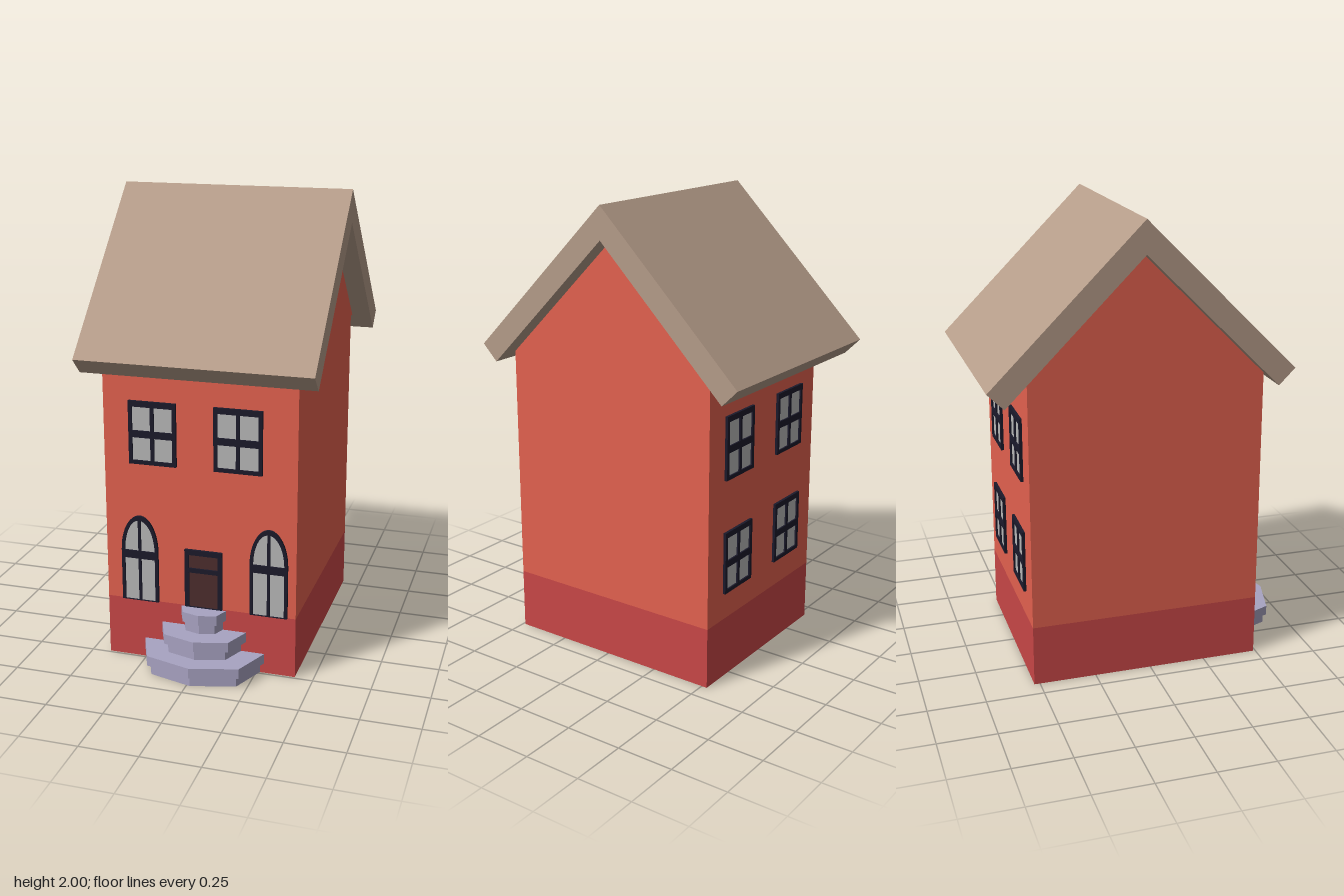
import * as THREE from 'three';

const mat = (color) => new THREE.MeshStandardMaterial({ color, flatShading: true });
const WALL = mat(0xe4624f), BASE = mat(0xc94747), ROOF = mat(0xb59c89), STONE = mat(0xa8a3c2);
const FRAME = mat(0x1b1a2b), GLASS = mat(0xb8b8b8), DOOR = mat(0x4d2d2d);
const FRONT = 0.49, BACK = -0.525, RIDGE = -0.055, HALF = 0.42, BASE_H = 0.27;

const polygon = (pts) => new THREE.Shape(pts.map(([x, y]) => new THREE.Vector2(x, y)));
const rect = (x0, y0, x1, y1) => polygon([[x0, y0], [x1, y0], [x1, y1], [x0, y1]]);
const extrude = (shape, depth) =>
  new THREE.ExtrudeGeometry(shape, { depth, bevelEnabled: false, curveSegments: 12 });

function add(parent, name, geometry, material) {
  const mesh = new THREE.Mesh(geometry, material);
  mesh.name = name;
  parent.add(mesh);
  return mesh;
}

// Side profile of [z, y] points, swept across the width
function sweepX(pts, width) {
  return extrude(polygon(pts), width).rotateY(-Math.PI / 2).translate(width / 2, 0, 0);
}

// Frame with openings, plus a panel just behind its face; built facing +z from z = 0
function opening(name, outline, holes, panel, panelMaterial) {
  const group = new THREE.Group();
  group.name = name;
  outline.holes = holes;
  add(group, 'frame', extrude(outline, 0.012), FRAME);
  const glass = new THREE.ShapeGeometry(panel, 12).translate(0, 0, 0.005);
  add(group, 'panel', glass, panelMaterial);
  return group;
}

// Four-pane sash window, origin at the bottom centre
function sashWindow(name) {
  const holes = [];
  for (const [y0, y1] of [[0.017, 0.117], [0.147, 0.25]]) {
    holes.push(rect(-0.088, y0, -0.008, y1), rect(0.008, y0, 0.088, y1));
  }
  return opening(name, rect(-0.104, 0, 0.104, 0.275), holes, rect(-0.1, 0.005, 0.1, 0.27), GLASS);
}

// Tall window with an elliptical head
function archShape(w, spring, rise) {
  const s = new THREE.Shape();
  s.moveTo(-w, 0);
  s.lineTo(w, 0);
  s.lineTo(w, spring);
  s.absellipse(0, spring, w, rise, 0, Math.PI, false);
  s.lineTo(-w, 0);
  return s;
}

function quarterPane(side) {
  const s = new THREE.Shape();
  const gap = 0.006, w = 0.068, y0 = 0.23, rise = 0.14;
  s.moveTo(side * gap, y0);
  s.lineTo(side * w, y0);
  for (let i = 1; i <= 10; i++) {
    const x = w + (gap - w) * (1 - Math.cos((i / 10) * Math.PI / 2));
    s.lineTo(side * x, y0 + rise * Math.sqrt(1 - (x / w) ** 2));
  }
  return s;
}

function archWindow(name) {
  const holes = [quarterPane(-1), quarterPane(1),
    rect(-0.068, 0.002, -0.006, 0.195), rect(0.006, 0.002, 0.068, 0.195)];
  return opening(name, archShape(0.082, 0.23, 0.16), holes, archShape(0.078, 0.23, 0.155), GLASS);
}

function doorway() {
  const holes = [rect(-0.064, 0.002, 0.064, 0.16), rect(-0.064, 0.18, 0.064, 0.24)];
  return opening('door', rect(-0.083, 0, 0.083, 0.263), holes, rect(-0.08, 0, 0.08, 0.26), DOOR);
}

export function createModel() {
  const house = new THREE.Group();
  house.name = 'house';

  // Plinth and gabled walls
  add(house, 'plinth', sweepX([[BACK, 0], [FRONT, 0], [FRONT, BASE_H], [BACK, BASE_H]], HALF * 2), BASE);
  add(house, 'walls', sweepX([[BACK, BASE_H], [FRONT, BASE_H], [FRONT, 1.315], [RIDGE, 1.86],
    [-0.56, 1.355], [BACK, 1.355]], HALF * 2), WALL);

  // Chevron roof slab, 45 degree pitch
  add(house, 'roof', sweepX([[RIDGE, 2], [RIDGE - 0.649, 1.351], [RIDGE - 0.579, 1.281], [RIDGE, 1.86],
    [RIDGE + 0.579, 1.281], [RIDGE + 0.649, 1.351]], 1.012), ROOF);

  // Front steps: each tier is a riser with a wider tread on it
  const steps = new THREE.Group();
  steps.name = 'steps';
  steps.position.set(0.0145, 0, FRONT);
  [0.93, 1, 0.62, 0.7, 0.32, 0.37].forEach((s, i) => {
    const plan = [[-0.27, 0], [-0.203, -0.16], [0, -0.215], [0.203, -0.16], [0.27, 0]]
      .map(([x, z]) => [x * s, z * s]);
    const slab = extrude(polygon(plan), 0.0443).rotateX(-Math.PI / 2).translate(0, i * 0.0443, 0);
    add(steps, i % 2 ? 'tread' : 'riser', slab, STONE);
  });
  house.add(steps);

  // Front openings
  const place = (part, x, y, z, turn = 0) => {
    part.position.set(x, y, z);
    part.rotation.y = turn;
    house.add(part);
  };
  for (const x of [-0.202, 0.169]) place(sashWindow('frontUpperWindow'), x, 0.895, FRONT);
  for (const x of [-0.268, 0.303]) place(archWindow('archedWindow'), x, BASE_H, FRONT);
  place(doorway(), 0.017, BASE_H, FRONT);

  // Back windows
  for (const y of [0.39, 0.895]) {
    for (const x of [-0.201, 0.201]) place(sashWindow('backWindow'), x, y, BACK, Math.PI);
  }
  return house;
}
